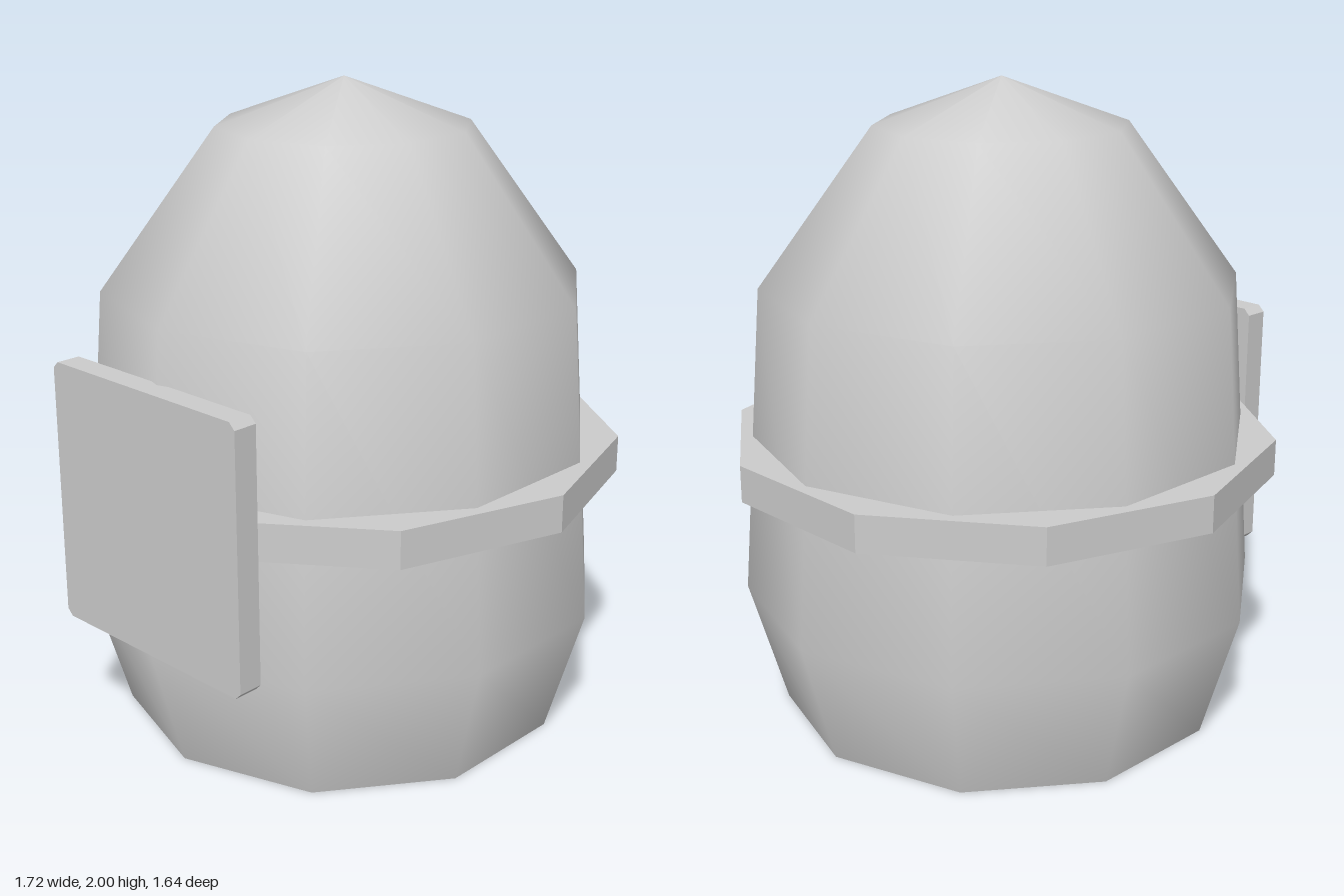
import * as THREE from 'three';

const SIDES = 10;

export function createModel() {
  const model = new THREE.Group();
  const grey = new THREE.MeshStandardMaterial({ color: 0xcccccc });
  grey.name = 'lightGrey';

  function add(name, geometry) {
    const mesh = new THREE.Mesh(geometry, grey);
    mesh.name = name;
    model.add(mesh);
    return mesh;
  }

  // Smooth ten-sided body: [radius, height] from base to tip
  const profile = [[0.705, 0], [0.82, 0.4], [0.745, 1.375], [0.39, 1.86], [0, 2]]
    .map(([r, y]) => new THREE.Vector2(r, y));
  add('body', new THREE.LatheGeometry(profile, SIDES));

  // Flat underside, with a corner facing the front like the body
  add('base', new THREE.CircleGeometry(0.705, SIDES, Math.PI / 2).rotateX(Math.PI / 2));

  // Faceted band, turned half a side against the body
  const band = new THREE.CylinderGeometry(0.86, 0.86, 0.115, SIDES)
    .rotateY(Math.PI / SIDES).toNonIndexed();
  band.computeVertexNormals();
  add('band', band).position.y = 0.848;

  // Front plate with small cut corners
  const w = 0.39, h = 0.41, c = 0.02;
  const outline = new THREE.Shape([
    [-w + c, -h], [w - c, -h], [w, -h + c], [w, h - c],
    [w - c, h], [-w + c, h], [-w, h - c], [-w, -h + c],
  ].map(([x, y]) => new THREE.Vector2(x, y)));
  add('frontPlate', new THREE.ExtrudeGeometry(outline, { depth: 0.077, bevelEnabled: false }))
    .position.set(0, 0.808, 0.745);

  return model;
}
